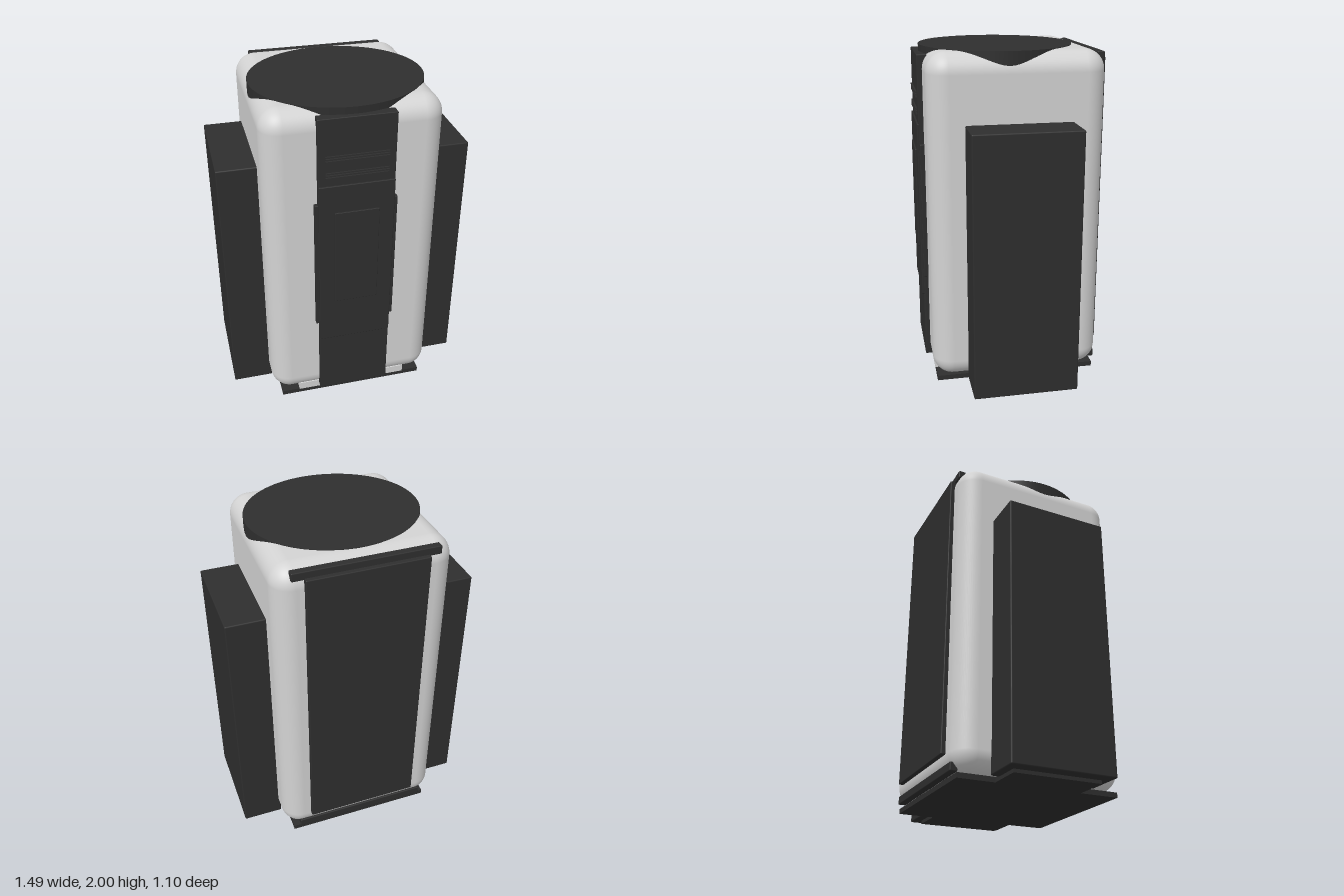
import * as THREE from 'three';
import { RoundedBoxGeometry } from 'three/addons/geometries/RoundedBoxGeometry.js';

export function createModel() {
  const model = new THREE.Group();
  const light = new THREE.MeshStandardMaterial({ color: 0xd3d3d3 });
  light.name = 'light grey casing';
  const dark = new THREE.MeshStandardMaterial({ color: 0x2e2e2e });
  dark.name = 'charcoal';

  const add = (name, geometry, material, parent = model) => {
    const mesh = new THREE.Mesh(geometry, material);
    mesh.name = name;
    parent.add(mesh);
    return mesh;
  };

  // Box given by its extents on each axis; a radius rounds its edges
  const block = (name, [x0, x1], [y0, y1], [z0, z1], material = dark, radius = 0, segments = 2) => {
    const size = [x1 - x0, y1 - y0, z1 - z0];
    const geometry = radius
      ? new RoundedBoxGeometry(...size, segments, radius)
      : new THREE.BoxGeometry(...size);
    geometry.translate((x0 + x1) / 2, (y0 + y1) / 2, (z0 + z1) / 2);
    return add(name, geometry, material);
  };

  // Rounded casing
  block('casing', [-0.515, 0.515], [0.03, 1.997], [-0.523, 0.5], light, 0.12, 8);

  // Oval lid let into the top
  const lid = new THREE.CylinderGeometry(1, 1, 0.14, 96);
  lid.scale(0.507, 1, 0.46).translate(0, 1.93, 0.04);
  add('lid', lid, dark);

  // Side packs and feet, mirrored
  for (const [side, s] of [['left', 1], ['right', -1]]) {
    const span = (a, b) => (s > 0 ? [a, b] : [-b, -a]);
    block(side + 'SidePack', span(0.5, 0.747), [0.02, 1.6], [-0.328, 0.295], dark, 0.008);
    block(side + 'FrontFoot', span(0.15, 0.35), [0.03, 0.08], [0.3, 0.485], light);
    block(side + 'StrapFlange', span(0.19, 0.24), [0.6, 1.44], [0.49, 0.527], dark, 0.004);
  }

  // Cross-shaped base plate
  const base = new THREE.Shape();
  [[0.46, -0.5], [0.46, -0.28], [0.675, -0.28], [0.675, 0.24], [0.46, 0.24], [0.46, 0.48],
    [-0.46, 0.48], [-0.46, 0.24], [-0.675, 0.24], [-0.675, -0.28], [-0.46, -0.28], [-0.46, -0.5]]
    .forEach(([x, z], i) => (i ? base.lineTo(x, -z) : base.moveTo(x, -z)));
  const plate = new THREE.ExtrudeGeometry(base, { depth: 0.03, bevelEnabled: false });
  plate.rotateX(-Math.PI / 2);
  add('basePlate', plate, dark);
  block('baseSpacer', [-0.3, 0.3], [0.02, 0.06], [-0.4, 0.46]);

  // Front strap in stepped layers
  block('strap', [-0.22, 0.22], [0.06, 1.96], [0.47, 0.53], dark, 0.005);
  block('strapCover', [-0.219, 0.219], [0.48, 1.56], [0.5, 0.54], dark, 0.004);
  block('strapPanel', [-0.13, 0.13], [0.77, 1.39], [0.52, 0.549], dark, 0.003);

  // Two groups of thin ribs near the strap's upper end
  for (const y of [1.725, 1.625]) {
    for (let i = -1; i <= 1; i++) {
      const c = y + i * 0.014;
      block('strapRib', [-0.18, 0.18], [c - 0.004, c + 0.004], [0.525, 0.54]);
    }
  }

  // Back panel and its edge clips
  block('backPanel', [-0.35, 0.35], [0.15, 1.94], [-0.55, -0.5], dark, 0.006);
  for (const [name, y0, y1] of [['upperClip', 1.93, 1.98], ['lowerClip', 0.045, 0.095]]) {
    block(name, [-0.42, 0.42], [y0, y1], [-0.523, -0.478], dark, 0.006);
  }

  return model;
}
